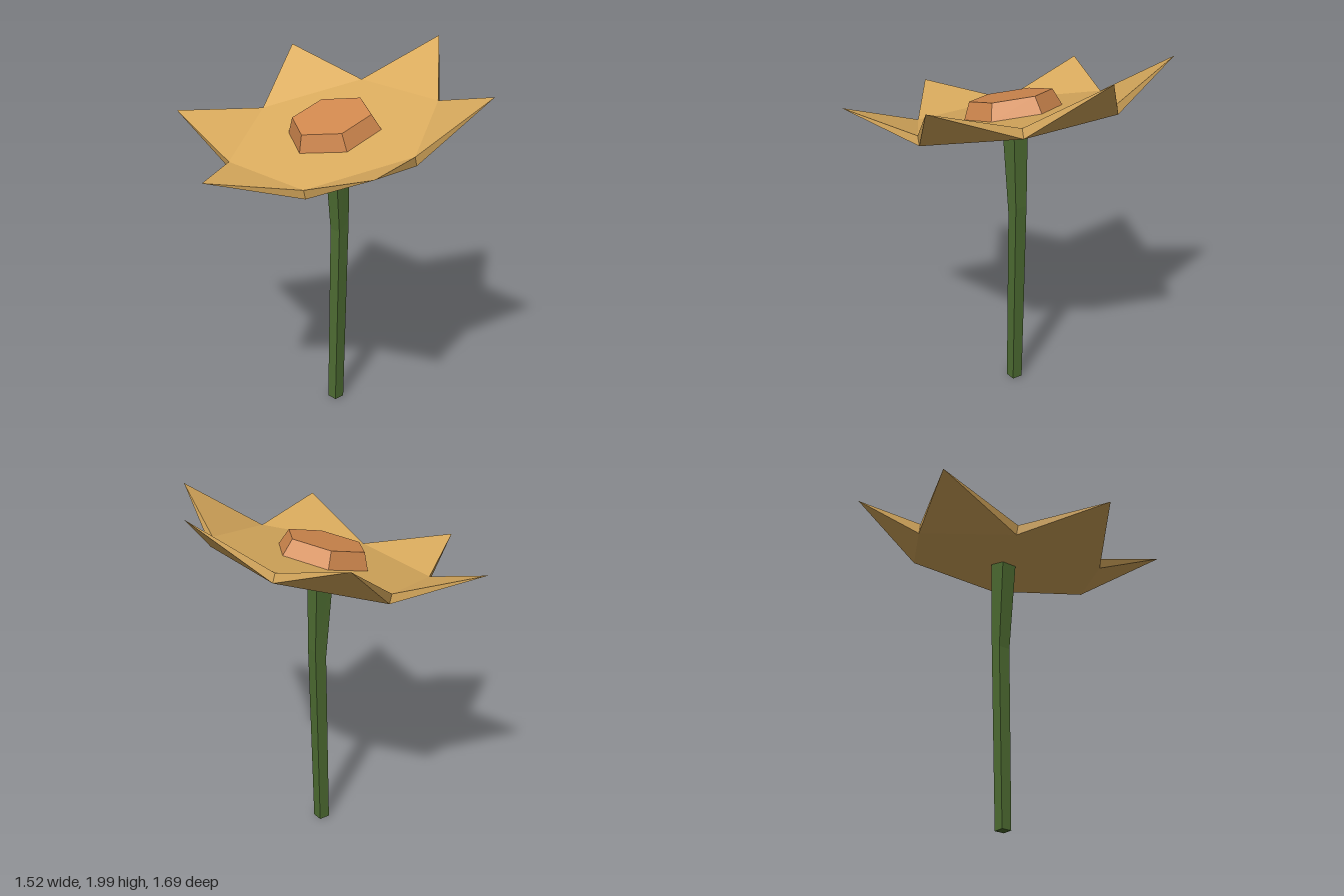
import * as THREE from 'three';

const mat = (name, color, side = THREE.FrontSide) => {
  const m = new THREE.MeshStandardMaterial({ color, flatShading: true, side });
  m.name = name;
  return m;
};

// Flat-shaded geometry from a list of corner points, three per face
function facets(points) {
  const g = new THREE.BufferGeometry().setFromPoints(points);
  g.computeVertexNormals();
  return g;
}

function addMesh(parent, name, geometry, material) {
  const mesh = new THREE.Mesh(geometry, material);
  mesh.name = name;
  parent.add(mesh);
  return mesh;
}

// Point at a radius, height and angle (in sixths of a turn)
const polar = (r, y, k) =>
  new THREE.Vector3(r * Math.cos(k * Math.PI / 3), y, r * Math.sin(k * Math.PI / 3));

export function createModel() {
  const flower = new THREE.Group();
  flower.name = 'flower';
  const yellow = mat('petal yellow', 0xdbac5e);
  const orange = mat('core orange', 0xd2894f);
  const green = mat('stem green', 0x4f6e33);

  // Tilted flower head
  const head = new THREE.Group();
  head.name = 'head';
  head.position.set(0, 1.56, -0.051);
  head.rotation.x = THREE.MathUtils.degToRad(15);
  flower.add(head);

  const R = 0.582, thick = 0.053;
  const low = new THREE.Vector3(0, 0, 0), high = new THREE.Vector3(0, thick, 0);
  const disc = [];
  for (let k = 0; k < 6; k++) {
    const aB = polar(R, 0, k), bB = polar(R, 0, k + 1);
    const aT = polar(R, thick, k), bT = polar(R, thick, k + 1);
    const tip = polar(0.876, 0.214, k + 0.5);
    // Sixth of the central hexagon, above and below
    disc.push(high, bT, aT, low, aB, bB);
    // Pointed petal closing to its tip
    addMesh(head, 'petal', facets([
      aT, bT, tip, bB, aB, tip, aT, tip, aB, tip, bT, bB,
    ]), yellow);
  }
  addMesh(head, 'petalBase', facets(disc), yellow);

  // Six-sided core
  const core = addMesh(head, 'core', new THREE.CylinderGeometry(0.22, 0.26, 0.092, 6), orange);
  core.position.y = thick + 0.044;

  // Bent square stem: each section is [half width, front y, front z, back y, back z]
  const sections = [
    [0.03, 0, -0.02, 0, -0.082],
    [0.035, 1.04, -0.042, 1.09, -0.112],
    [0.045, 1.56, 0.002, 1.59, -0.105],
  ].map(([w, fy, fz, by, bz]) => [
    new THREE.Vector3(-w, fy, fz), new THREE.Vector3(w, fy, fz),
    new THREE.Vector3(w, by, bz), new THREE.Vector3(-w, by, bz),
  ]);
  const stem = [];
  const quad = (a, b, c, d) => stem.push(a, b, c, a, c, d);
  for (let s = 0; s < 2; s++) {
    const lo = sections[s], hi = sections[s + 1];
    for (let i = 0; i < 4; i++) {
      const j = (i + 1) % 4;
      quad(lo[i], lo[j], hi[j], hi[i]);
    }
  }
  quad(...sections[2]);
  quad(...[...sections[0]].reverse());
  addMesh(flower, 'stem', facets(stem), green);

  return flower;
}
